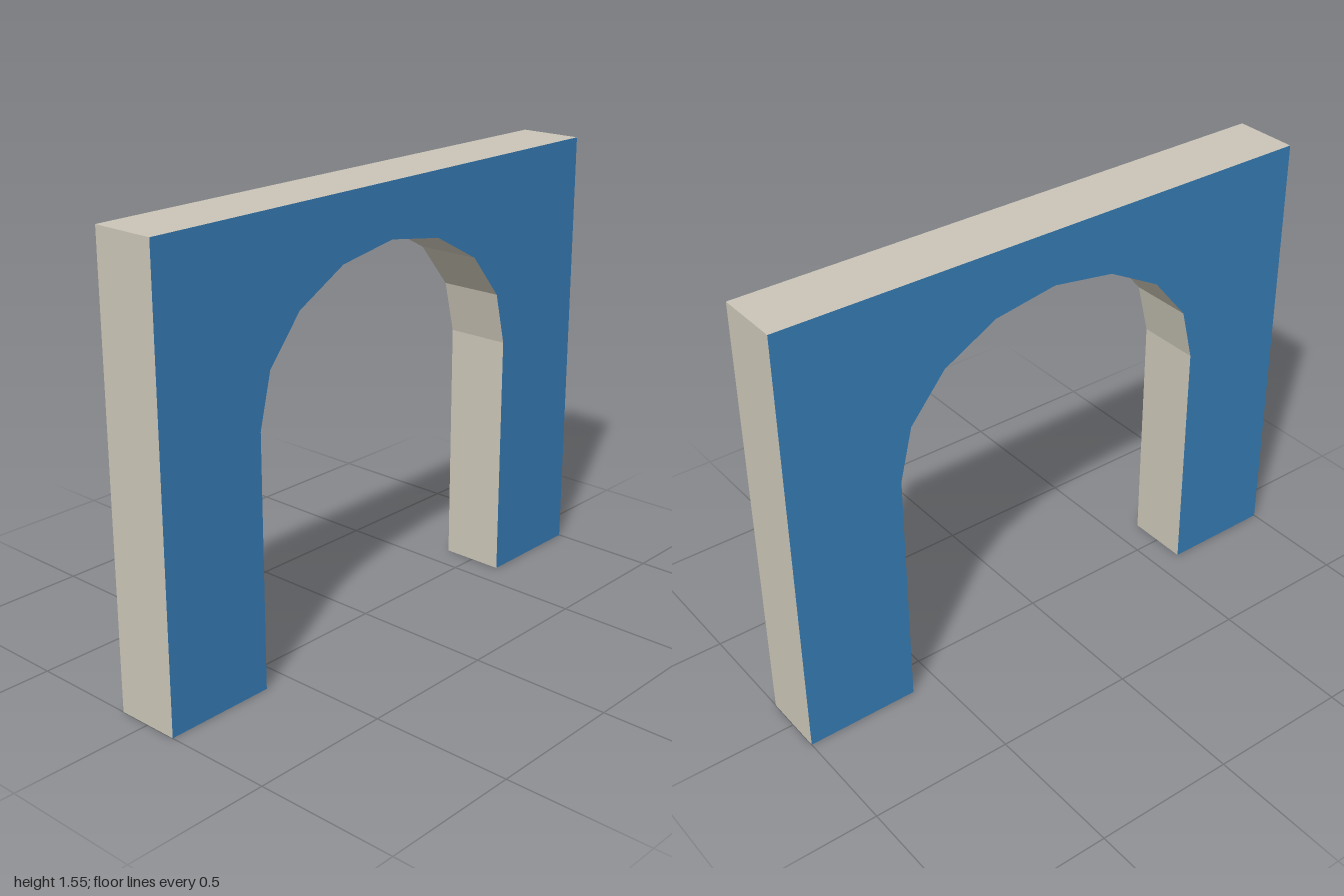
import * as THREE from 'three';

const HALF_WIDTH = 1, HEIGHT = 1.555, DEPTH = 0.23;
const OPENING = 0.6, SPRING = 0.88, RISE = 0.485, SEGMENTS = 8;

export function createModel() {
  const blue = new THREE.MeshStandardMaterial({ color: 0x377eb8, flatShading: true });
  blue.name = 'blue face';
  const stone = new THREE.MeshStandardMaterial({ color: 0xcac5b7, flatShading: true });
  stone.name = 'pale stone edge';

  // Wall outline, with a faceted half-ellipse over a straight-sided opening
  const outline = new THREE.Shape();
  outline.moveTo(OPENING, 0);
  outline.lineTo(HALF_WIDTH, 0);
  outline.lineTo(HALF_WIDTH, HEIGHT);
  outline.lineTo(-HALF_WIDTH, HEIGHT);
  outline.lineTo(-HALF_WIDTH, 0);
  outline.lineTo(-OPENING, 0);
  for (let i = SEGMENTS; i >= 0; i--) {
    const a = (Math.PI * i) / SEGMENTS;
    outline.lineTo(OPENING * Math.cos(a), SPRING + RISE * Math.sin(a));
  }
  outline.closePath();

  // Front and back faces are blue; all edges and the arch underside are stone
  const geometry = new THREE.ExtrudeGeometry(outline, { depth: DEPTH, bevelEnabled: false });
  geometry.translate(0, 0, -DEPTH / 2);
  const wall = new THREE.Mesh(geometry, [blue, stone]);
  wall.name = 'archWall';

  const group = new THREE.Group();
  group.name = 'archway';
  group.add(wall);
  return group;
}
